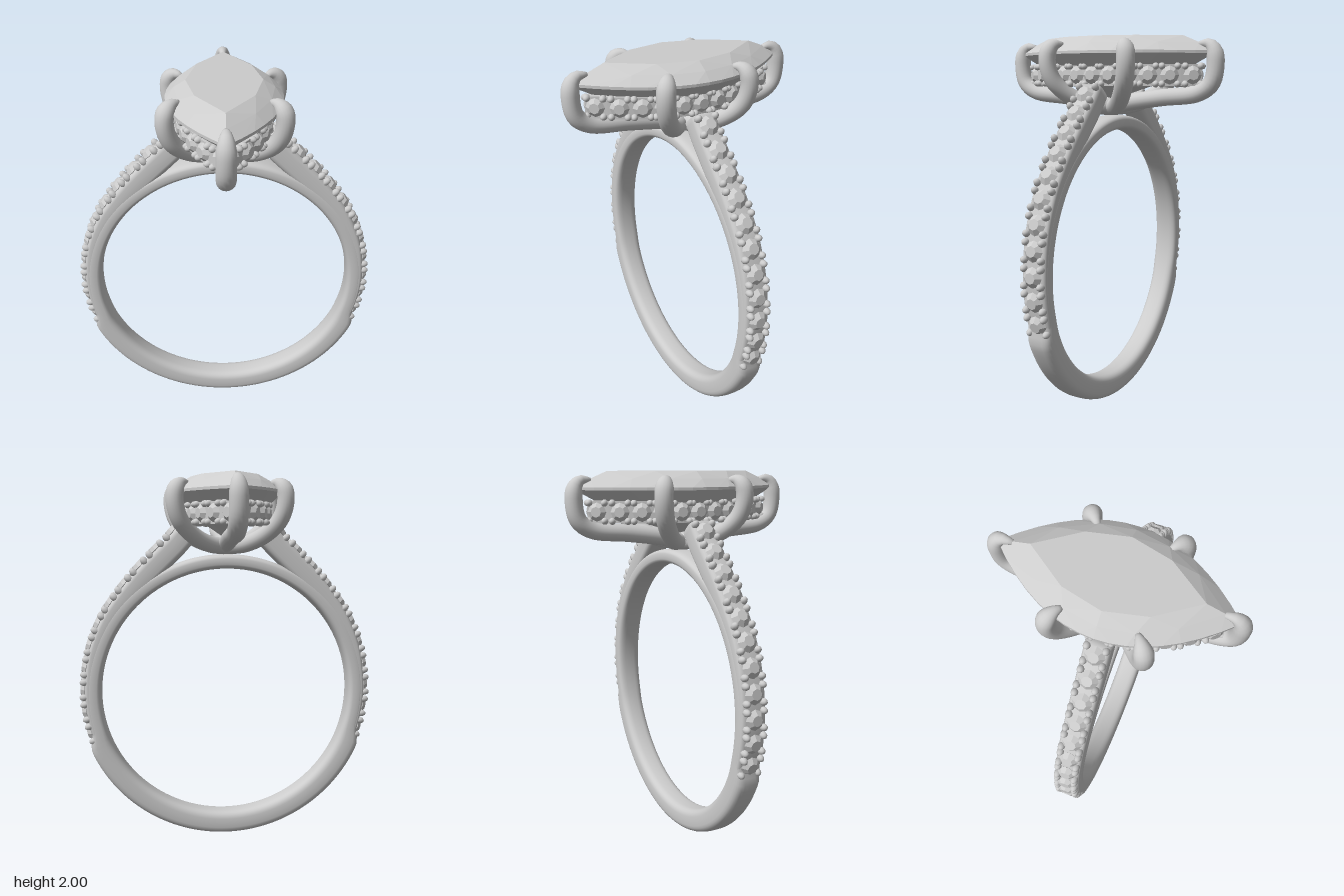
import * as THREE from 'three';
import { mergeGeometries } from 'three/addons/utils/BufferGeometryUtils.js';
import { ConvexGeometry } from 'three/addons/geometries/ConvexGeometry.js';

const V = (x, y, z) => new THREE.Vector3(x, y, z);
const power = (c, e) => Math.sign(c) * Math.abs(c) ** (2 / e);
const smooth = THREE.MathUtils.smoothstep;

// Sweeps a superellipse along a planar curve; side is the plane's normal.
// section(t) gives half thickness, half width, offset along the in-plane normal, exponent.
function sweep(curve, side, rows, sides, closed, section) {
  const pos = [], index = [];
  const count = closed ? rows : rows + 3;
  for (let i = 0; i < count; i++) {
    const t = closed ? i / rows : THREE.MathUtils.clamp((i - 1) / rows, 0, 1);
    const scale = !closed && (i === 0 || i === count - 1) ? 0.001 : 1;
    const p = curve.getPointAt(t);
    const n = side.clone().cross(curve.getTangentAt(t)).normalize();
    const [hn, hb, off, e] = section(t, p);
    for (let j = 0; j < sides; j++) {
      const a = (j / sides) * Math.PI * 2;
      const v = p.clone()
        .addScaledVector(n, off + power(Math.cos(a), e) * hn * scale)
        .addScaledVector(side, power(Math.sin(a), e) * hb * scale);
      pos.push(v.x, v.y, v.z);
    }
  }
  for (let i = 0; i < (closed ? count : count - 1); i++) {
    for (let j = 0; j < sides; j++) {
      const k = (j + 1) % sides, r = ((i + 1) % count) * sides;
      const a = i * sides + j, b = i * sides + k;
      index.push(a, b, r + j, b, r + k, r + j);
    }
  }
  const g = new THREE.BufferGeometry();
  g.setAttribute('position', new THREE.Float32BufferAttribute(pos, 3));
  g.setIndex(index);
  g.computeVertexNormals();
  return g;
}

// Pointed oval outline, counted once around
function marquise(w, l, perSide) {
  const pts = [];
  for (let h = 0; h < 2; h++) {
    for (let i = 0; i < perSide; i++) {
      const s = 1 - (2 * i) / perSide, d = h ? -1 : 1;
      pts.push([d * w * (1 - s * s), d * l * s]);
    }
  }
  return pts;
}

// Small faceted stone held by four beads, facing +y
function stoneGeometry() {
  const crown = new THREE.CylinderGeometry(0.028, 0.053, 0.024, 8).toNonIndexed();
  crown.translate(0, -0.01, 0);
  const pavilion = new THREE.CylinderGeometry(0.053, 0.02, 0.03, 8).toNonIndexed();
  pavilion.translate(0, -0.037, 0);
  const parts = [crown, pavilion];
  parts.forEach((g) => g.computeVertexNormals());
  for (const x of [-1, 1]) {
    for (const z of [-1, 1]) {
      const bead = new THREE.SphereGeometry(0.019, 10, 7).toNonIndexed();
      bead.scale(1, 1.4, 1);
      bead.translate(x * 0.042, -0.022, z * 0.047);
      parts.push(bead);
    }
  }
  return mergeGeometries(parts);
}

export function createModel() {
  const model = new THREE.Group();
  model.name = 'ring';
  const silver = new THREE.MeshStandardMaterial({ color: 0xcccccc });
  silver.name = 'silver';
  const add = (name, geometry, parent = model) => {
    const mesh = new THREE.Mesh(geometry, silver);
    mesh.name = name;
    parent.add(mesh);
    return mesh;
  };
  const group = (name) => {
    const g = new THREE.Group();
    g.name = name;
    model.add(g);
    return g;
  };
  const stone = stoneGeometry();
  const setStone = (parent, p, normal, along, scale = 1) => {
    const mesh = add('accentStone', stone, parent);
    const m = new THREE.Matrix4().makeBasis(along, normal, along.clone().cross(normal));
    mesh.quaternion.setFromRotationMatrix(m);
    mesh.position.copy(p);
    mesh.scale.setScalar(scale);
  };

  // Band: a full hoop, plain and thicker below, thinner under the stones
  const inner = 0.69, centreY = 0.82;
  const circle = [];
  for (let i = 0; i < 48; i++) {
    const a = (i / 48) * Math.PI * 2;
    circle.push(V(inner * Math.cos(a), centreY + inner * Math.sin(a), 0));
  }
  const hoop = new THREE.CatmullRomCurve3(circle, true);
  add('band', sweep(hoop, V(0, 0, -1), 144, 28, true, (t, p) => {
    const depth = 0.13 - 0.04 * smooth(p.y, 0.54, 0.64) - 0.012 * smooth(p.y, 1.2, 1.5);
    return [depth / 2, 0.07, depth / 2, 3.2];
  }));

  // Shoulders: rising arms set with a row of stones
  const armPath = [[0.755, 0.54], [0.79, 0.68], [0.805, 0.84], [0.775, 1.07], [0.7, 1.26],
    [0.61, 1.395], [0.52, 1.505], [0.41, 1.62], [0.33, 1.7], [0.27, 1.77]];
  for (const s of [1, -1]) {
    const arm = group(s > 0 ? 'leftShoulder' : 'rightShoulder');
    const curve = new THREE.CatmullRomCurve3(armPath.map(([x, y]) => V(s * x, y, 0)));
    const side = V(0, 0, -s);
    add('shoulder', sweep(curve, side, 60, 24, false, (t) => {
      const depth = 0.075 + 0.05 * smooth(t, 0.3, 0.9);
      return [depth / 2, 0.068, -0.022 - depth / 2, 4];
    }), arm);
    for (let i = 0; i < 11; i++) {
      const t = (i + 0.5) / 11, along = curve.getTangentAt(t);
      setStone(arm, curve.getPointAt(t), side.clone().cross(along), along);
    }
  }

  // Gallery rail: pointed oval wall with stones facing outward
  const rail = group('galleryRail');
  const railW = 0.225, railL = 0.52;
  const toShape = (Type, w, l) =>
    new Type(marquise(w, l, 24).map(([x, z]) => new THREE.Vector2(x, z)));
  const wall = toShape(THREE.Shape, railW, railL);
  wall.holes.push(toShape(THREE.Path, railW - 0.055, railL - 0.09));
  const railGeometry = new THREE.ExtrudeGeometry(wall, { depth: 0.11, bevelEnabled: false });
  railGeometry.rotateX(Math.PI / 2);
  railGeometry.translate(0, 1.855, 0);
  add('rail', railGeometry, rail);
  for (const d of [1, -1]) {
    for (let i = -5; i <= 5; i++) {
      const s = i * 0.185;
      const normal = V(d * railL, 0, 2 * railW * s).normalize();
      const p = V(d * railW * (1 - s * s), 1.8, railL * s).addScaledVector(normal, 0.018);
      setStone(rail, p, normal, V(0, 1, 0).cross(normal), 0.95);
    }
  }

  // Centre stone: faceted pointed oval
  const points = [];
  const layer = (w, l, n, y) => marquise(w, l, n).forEach(([x, z]) => points.push(V(x, y, z)));
  layer(0.19, 0.41, 4, 2.0);
  layer(0.25, 0.5, 6, 1.963);
  layer(0.293, 0.58, 16, 1.922);
  layer(0.293, 0.58, 16, 1.908);
  layer(0.15, 0.32, 4, 1.77);
  points.push(V(0, 1.67, 0));
  add('centreStone', new ConvexGeometry(points));

  // Prongs: claws from the base, folded over the centre stone
  const prongs = group('prongs');
  const sidePath = [[0.28, 1.955], [0.32, 1.955], [0.358, 1.925], [0.367, 1.86], [0.335, 1.77],
    [0.25, 1.695], [0.13, 1.645], [0, 1.63]];
  const endPath = [[0.5, 1.955], [0.55, 1.955], [0.58, 1.925], [0.59, 1.86], [0.57, 1.76],
    [0.5, 1.71], [0.3, 1.685], [0.12, 1.66], [0, 1.635]];
  const prong = (name, path, angle) => {
    const c = Math.cos(angle), s = Math.sin(angle);
    const curve = new THREE.CatmullRomCurve3(path.map(([r, y]) => V(r * c, y, r * s)));
    add(name, sweep(curve, V(-s, 0, c), 40, 18, false, (t) => {
      const r = 0.01 + 0.037 * smooth(t, -0.04, 0.16);
      return [r * 0.95, r, 0, 2];
    }), prongs);
  };
  for (const a of [0.68, Math.PI - 0.68, Math.PI + 0.68, -0.68]) prong('sideProng', sidePath, a);
  for (const a of [Math.PI / 2, -Math.PI / 2]) prong('endProng', endPath, a);

  return model;
}
